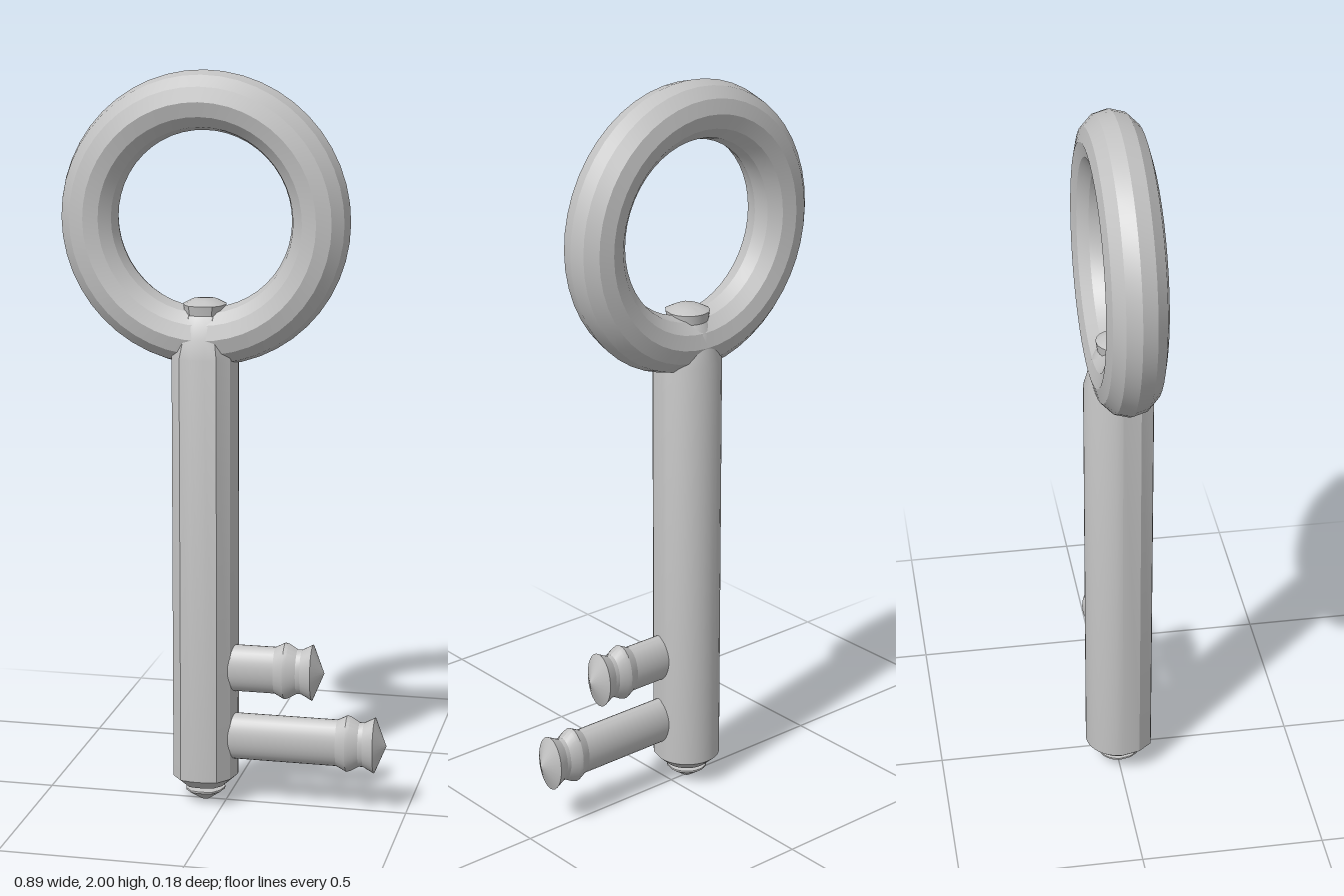
import * as THREE from 'three';
import { toCreasedNormals } from 'three/addons/utils/BufferGeometryUtils.js';

const CX = -0.058;

// Stack scaled copies of a closed section (counter-clockwise in x, -z) along y
function loft(section, profile) {
  const pos = [], idx = [], n = section.length;
  for (const [r, y] of profile) for (const [x, z] of section) pos.push(x * r, y, z * r);
  for (let j = 0; j < profile.length - 1; j++) {
    for (let i = 0; i < n; i++) {
      const a = j * n + i, b = j * n + (i + 1) % n;
      idx.push(a, b, a + n, b, b + n, a + n);
    }
  }
  const geo = new THREE.BufferGeometry();
  geo.setAttribute('position', new THREE.Float32BufferAttribute(pos, 3));
  geo.setIndex(idx);
  return toCreasedNormals(geo, 0.4);
}

export function createModel() {
  const group = new THREE.Group();
  const metal = new THREE.MeshStandardMaterial({ color: 0xc2c2c2 });
  metal.name = 'light grey metal';
  const add = (name, geo, x, y, z) => {
    const mesh = new THREE.Mesh(geo, metal);
    mesh.name = name;
    mesh.position.set(x, y, z);
    group.add(mesh);
  };

  // Ring handle
  add('ringHandle', toCreasedNormals(new THREE.TorusGeometry(0.312, 0.078, 12, 48), 0.35), CX, 1.61, 0);

  // Shaft: rounded back, faceted front, turned tips at both ends
  const section = [];
  for (let i = 0; i <= 16; i++) {
    const a = Math.PI * i / 16;
    section.push([Math.cos(a), -Math.sin(a)]);
  }
  section.push([-0.87, 0.55], [-0.55, 0.95], [-0.2, 1.02], [0.2, 1.02], [0.55, 0.95], [0.87, 0.55]);
  const shaftProfile = [
    [0, 0.003], [0.013, 0.005], [0.054, 0.034], [0.054, 0.039], [0.034, 0.043], [0.034, 0.05],
    [0.06, 0.052], [0.091, 0.08], [0.091, 1.25], [0.077, 1.3], [0.069, 1.335], [0.054, 1.36],
    [0.058, 1.386], [0.035, 1.398], [0, 1.402],
  ];
  add('shaft', loft(section, shaftProfile), CX, 0, 0);

  // Two oval teeth, each with a collar and a pointed flared end
  for (const [name, y, tip] of [['upperTooth', 0.39, 0.275], ['lowerTooth', 0.196, 0.447]]) {
    const profile = [
      [0, CX], [0.065, CX], [0.065, tip - 0.135], [0.079, tip - 0.108], [0.076, tip - 0.098],
      [0.062, tip - 0.074], [0.062, tip - 0.062], [0.078, tip - 0.032], [0, tip],
    ].map(([r, d]) => new THREE.Vector2(r, d));
    const geo = new THREE.LatheGeometry(profile, 28);
    geo.rotateZ(-Math.PI / 2);
    geo.scale(1, 1, 0.63);
    add(name, toCreasedNormals(geo, 0.3), 0, y, 0.016);
  }
  return group;
}
